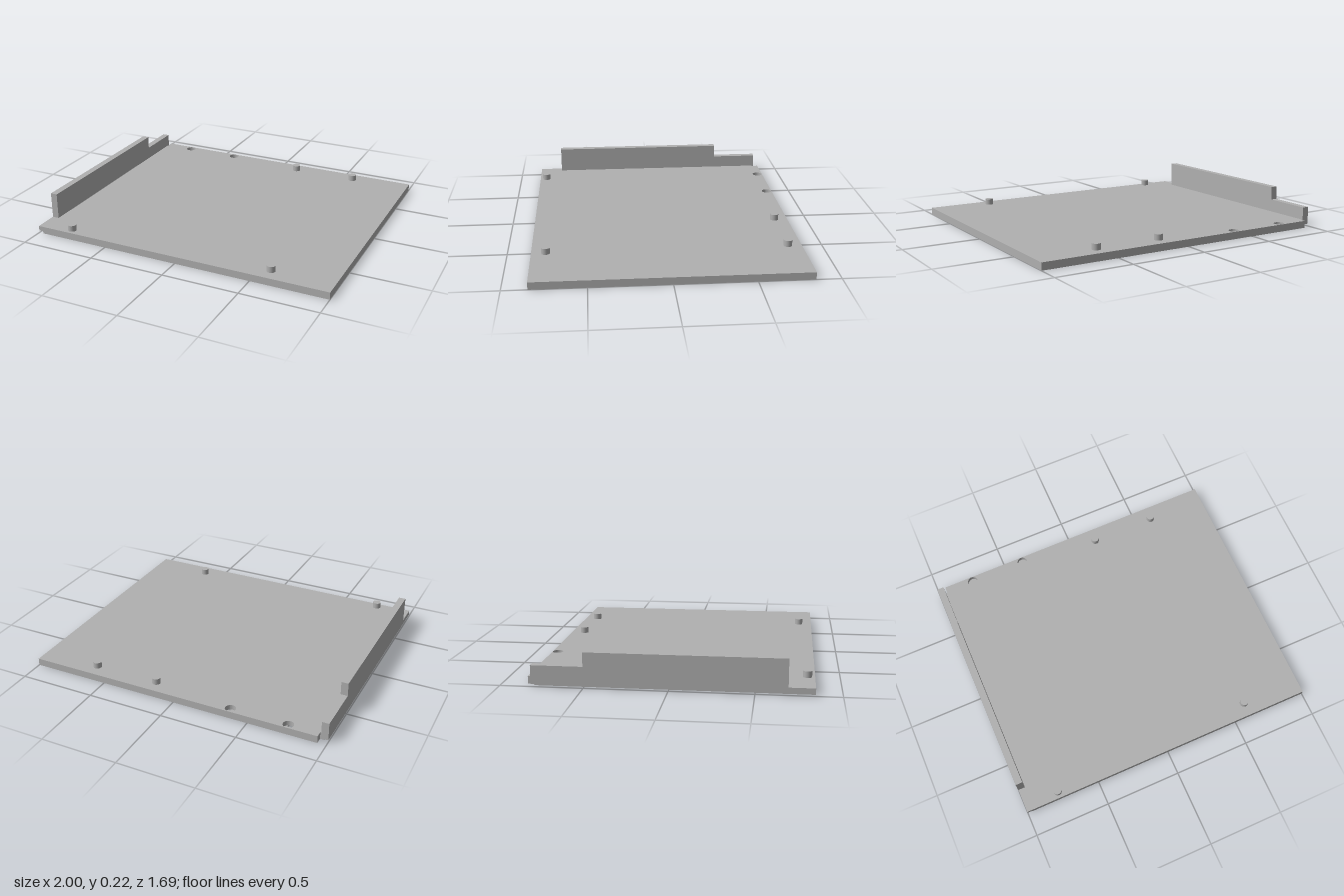
import * as THREE from 'three';

const HALF_X = 1, HALF_Z = 0.845;
const STEP = 0.015, TOP = 0.047;

// Flat outline in x and z, with a small notch in the back corner beside the wall
function plateShape(left) {
  const s = new THREE.Shape();
  s.moveTo(left, HALF_Z);
  s.lineTo(left, -0.8);
  s.lineTo(-0.945, -0.8);
  s.lineTo(-0.945, -HALF_Z);
  s.lineTo(HALF_X, -HALF_Z);
  s.lineTo(HALF_X, HALF_Z);
  s.closePath();
  return s;
}

function rectHole(x0, x1, z0, z1) {
  const p = new THREE.Path();
  p.moveTo(x0, z0);
  p.lineTo(x1, z0);
  p.lineTo(x1, z1);
  p.lineTo(x0, z1);
  p.closePath();
  return p;
}

// Extrude a plan outline into a slab between two heights
function slab(shape, y0, y1) {
  const g = new THREE.ExtrudeGeometry(shape, { depth: y1 - y0, bevelEnabled: false, curveSegments: 24 });
  g.rotateX(Math.PI / 2);
  g.translate(0, y1, 0);
  return g;
}

export function createModel() {
  const group = new THREE.Group();
  const grey = new THREE.MeshStandardMaterial({ color: 0xb0b0b0 });
  grey.name = 'plain grey';
  const add = (name, geometry) => {
    const mesh = new THREE.Mesh(geometry, grey);
    mesh.name = name;
    group.add(mesh);
    return mesh;
  };

  // Underside layer, set in along the wall edge and cut by parallel slots
  const lower = plateShape(-0.97);
  const slots = 26, pitch = 0.068, width = 0.034;
  for (let i = 0; i < slots; i++) {
    const x = 0.81 - i * pitch;
    lower.holes.push(rectHole(x - width / 2, x + width / 2, -0.79, 0.79));
  }
  add('slottedUnderside', slab(lower, 0, STEP));

  // Top layer with two round recesses near the back edge
  const upper = plateShape(-HALF_X);
  for (const x of [-0.75, -0.375]) {
    const hole = new THREE.Path();
    hole.absarc(x, -0.81, 0.034, 0, Math.PI * 2, true);
    upper.holes.push(hole);
  }
  add('topPlate', slab(upper, STEP, TOP));

  // Stepped side wall: profile drawn in z and y, extruded across its thickness
  const profile = new THREE.Shape();
  profile.moveTo(-0.69, STEP);
  profile.lineTo(0.813, STEP);
  profile.lineTo(0.813, 0.13);
  profile.lineTo(0.5, 0.13);
  profile.lineTo(0.5, 0.217);
  profile.lineTo(-0.69, 0.217);
  profile.closePath();
  const wall = new THREE.ExtrudeGeometry(profile, { depth: 0.045, bevelEnabled: false });
  wall.rotateY(Math.PI / 2);
  wall.translate(-HALF_X, 0, 0);
  add('sideWall', wall);

  // Locating pins
  for (const [x, z] of [[-0.77, 0.8], [0.6, 0.755], [0.165, -0.757], [0.6, -0.757]]) {
    const height = 0.086 - STEP * 2;
    const pin = add('pin', new THREE.CylinderGeometry(0.027, 0.027, height, 32));
    pin.position.set(x, 0.086 - height / 2, z);
  }

  return group;
}
